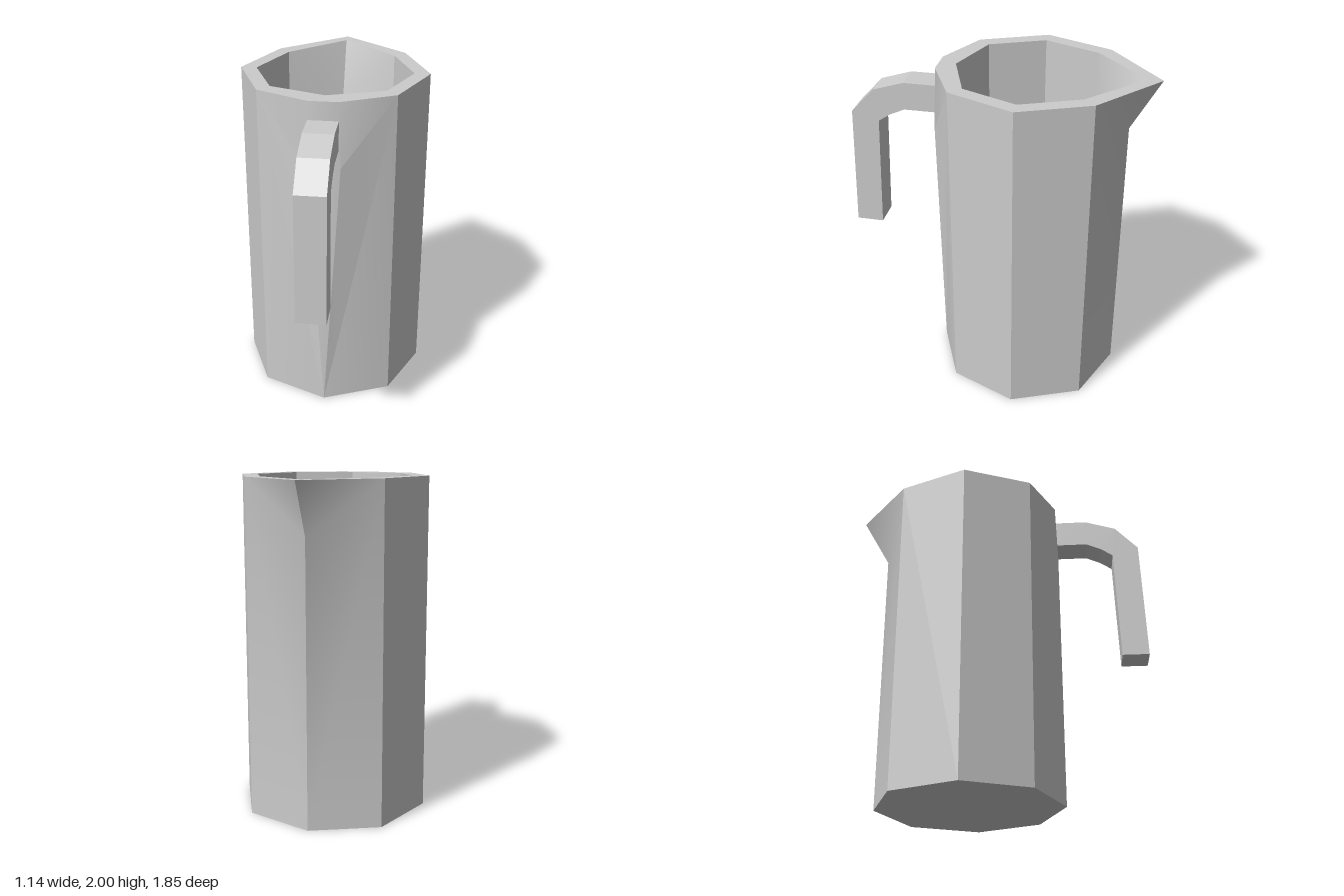
import * as THREE from 'three';
import { toCreasedNormals } from 'three/addons/utils/BufferGeometryUtils.js';

const TOP = 2, FLOOR = 0.1, LIP = 1.69;

// Collects convex polygons for the +x half and mirrors each to -x.
function mirroredGeometry(polygons) {
  const pos = [];
  const flip = ([x, y, z]) => [-x, y, z];
  for (const p of polygons) {
    for (let i = 1; i < p.length - 1; i++) {
      pos.push(...p[0], ...p[i], ...p[i + 1]);
      pos.push(...flip(p[0]), ...flip(p[i + 1]), ...flip(p[i]));
    }
  }
  const g = new THREE.BufferGeometry();
  g.setAttribute('position', new THREE.Float32BufferAttribute(pos, 3));
  return toCreasedNormals(g, Math.PI / 6);
}

function createBody() {
  // Half outlines [x, z], from the spout to the handle side
  const outer = [[0, -0.75], [0.4, -0.59], [0.57, -0.18], [0.4, 0.22], [0, 0.39]];
  const inner = [[0, -0.66], [0.335, -0.52], [0.475, -0.18], [0.335, 0.15], [0, 0.27]];
  const at = ([x, z], y) => [x, y, z];
  const lo = outer.map(p => at(p, 0)), hi = outer.map(p => at(p, TOP));
  const inLo = inner.map(p => at(p, FLOOR)), inHi = inner.map(p => at(p, TOP));

  // Spout tips, outside and inside
  hi[0] = [0, TOP, -0.92];
  inHi[0] = [0, TOP, -0.83];
  // Flattened patch where the handle joins
  const patchLow = [0.1, 1.61, 0.385], patchTop = [0.088, TOP, 0.372];
  const patchLowMid = [0, 1.61, 0.385];
  hi[4] = [0, TOP, 0.372];

  const polys = [];
  // Outer walls
  polys.push([hi[1], lo[1], lo[0], at(outer[0], LIP), hi[0]]);
  for (const i of [1, 2]) polys.push([lo[i + 1], lo[i], hi[i], hi[i + 1]]);
  polys.push([hi[3], patchTop, patchLow, lo[4], lo[3]]);
  polys.push([patchLowMid, lo[4], patchLow, patchTop, hi[4]]);
  // Inner walls
  polys.push([inHi[1], inHi[0], at(inner[0], LIP), inLo[0], inLo[1]]);
  for (const i of [1, 2, 3]) polys.push([inLo[i], inLo[i + 1], inHi[i + 1], inHi[i]]);
  // Rim
  for (const i of [0, 1, 2]) polys.push([hi[i], inHi[i], inHi[i + 1], hi[i + 1]]);
  polys.push([hi[3], inHi[3], inHi[4], hi[4], patchTop]);
  // Inside floor and underside
  polys.push([inLo[0], inLo[4], inLo[3], inLo[2], inLo[1]]);
  polys.push(lo);
  return mirroredGeometry(polys);
}

function createHandle() {
  // Side profile [z, y], extruded across x
  const profile = [
    [0.36, 1.89], [0.57, 1.89], [0.76, 1.83], [0.9, 1.68], [0.925, 0.92],
    [0.76, 0.92], [0.735, 1.63], [0.66, 1.68], [0.57, 1.72], [0.36, 1.72],
  ];
  const width = 0.176;
  const shape = new THREE.Shape(profile.map(([z, y]) => new THREE.Vector2(z, y)));
  return new THREE.ExtrudeGeometry(shape, { depth: width, bevelEnabled: false })
    .translate(0, 0, -width / 2)
    .rotateY(-Math.PI / 2);
}

export function createModel() {
  const group = new THREE.Group();
  group.name = 'pitcher';
  const add = (name, geometry, flatShading) => {
    const mesh = new THREE.Mesh(geometry, new THREE.MeshStandardMaterial({ color: 0xcccccc, flatShading }));
    mesh.name = name;
    group.add(mesh);
  };
  add('body', createBody(), false);
  add('handle', createHandle(), true);
  return group;
}
